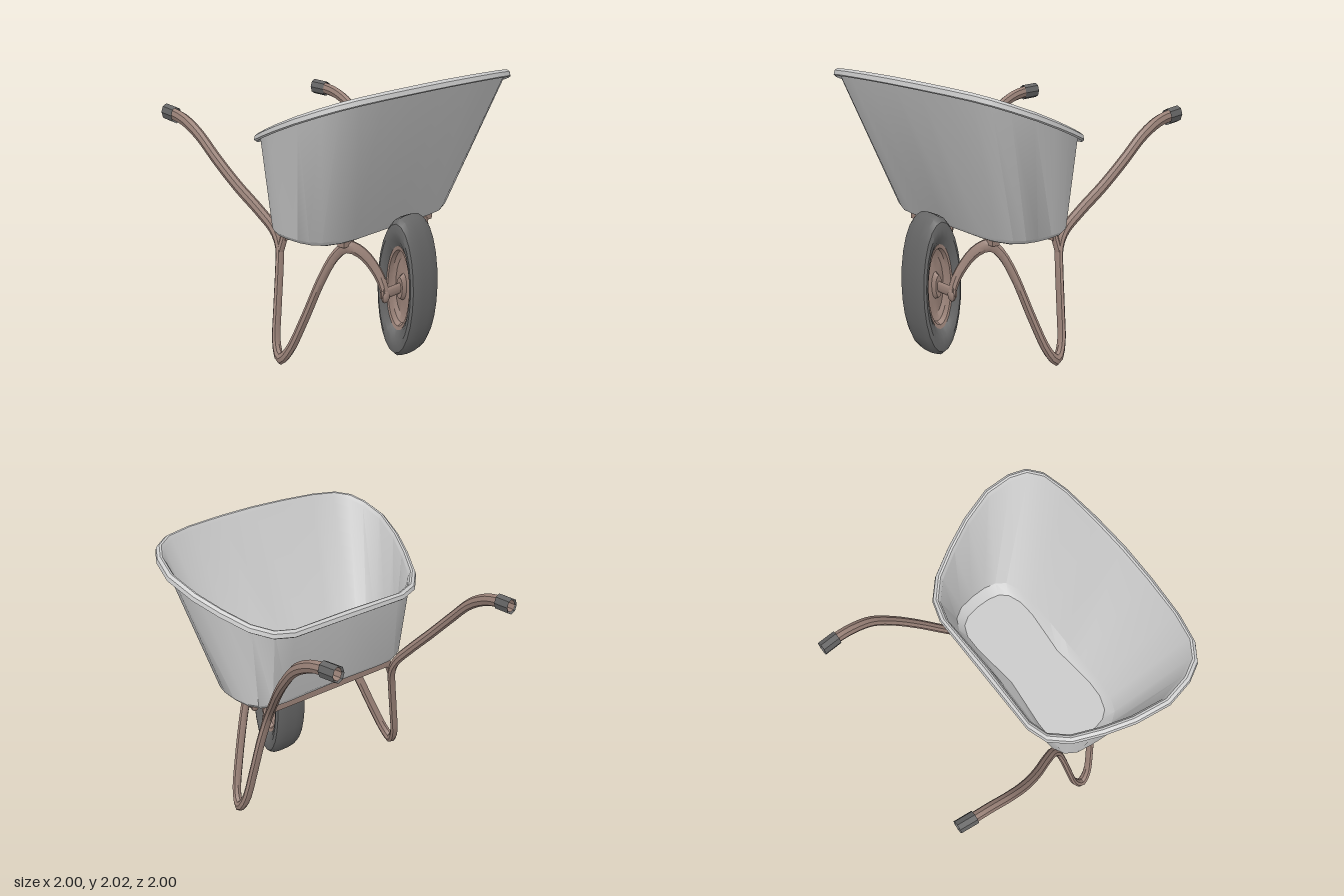
import * as THREE from 'three';
import { toCreasedNormals } from 'three/addons/utils/BufferGeometryUtils.js';

const V = (x, y, z) => new THREE.Vector3(x, y, z);
const material = (color) => new THREE.MeshStandardMaterial({ color, side: THREE.DoubleSide });

function part(name, geometry, mat, crease = 0.6) {
  const mesh = new THREE.Mesh(toCreasedNormals(geometry, crease), mat);
  mesh.name = name;
  return mesh;
}

// Tube whose cross-section is squashed by the same scale on every axis
const SQUASH = V(0.5, 1, 0.78);
function squashedTube(points, radius, segments, sides = 8) {
  const curve = new THREE.CatmullRomCurve3(points.map((p) => p.clone().divide(SQUASH)), false, 'centripetal');
  return new THREE.TubeGeometry(curve, segments, radius, sides).scale(SQUASH.x, SQUASH.y, SQUASH.z);
}

// Half outlines [x, z] of the tray rim and the tray base, back to nose
const RIM = [[-0.22, 0], [-0.22, 0.5], [-0.175, 0.65], [-0.06, 0.77], [0.13, 0.87], [0.33, 0.95], [0.56, 1],
  [0.74, 0.97], [0.85, 0.91], [0.92, 0.8], [0.96, 0.6], [0.985, 0.3], [0.995, 0]];
const BASE = [[-0.055, 0], [-0.055, 0.45], [-0.045, 0.58], [0, 0.67], [0.08, 0.72], [0.2, 0.74], [0.32, 0.74],
  [0.41, 0.72], [0.48, 0.67], [0.53, 0.56], [0.55, 0.42], [0.555, 0.2], [0.555, 0]];
const fullLoop = (half) => half.concat(half.slice(1, -1).reverse().map(([x, z]) => [x, -z]));

function trayGeometry() {
  const rim = fullLoop(RIM), base = fullLoop(BASE), n = rim.length;
  // [blend base to rim, inset, height offset], from the inner floor over the lip to the underside
  const rings = [[0, 0.09, -0.015], [0.03, 0.025, 0.02], [1, 0.062, -0.03], [1, 0.045, -0.004], [1, 0.03, 0],
    [1, 0.008, -0.015], [1, 0, -0.045], [1, 0.015, -0.055], [1, 0.045, -0.035], [0, 0, 0],
    [0, 0.025, -0.028], [0, 0.07, -0.042]];
  const positions = [], index = [];
  for (const [t, inset, dy] of rings) {
    for (let i = 0; i < n; i++) {
      const x = THREE.MathUtils.lerp(base[i][0], rim[i][0], t);
      const z = THREE.MathUtils.lerp(base[i][1], rim[i][1], t);
      const cx = THREE.MathUtils.lerp(0.25, 0.38, t);
      const k = 1 - inset / Math.hypot(x - cx, z);
      const y = THREE.MathUtils.lerp(0.95, 1.65 + 0.37 * x, t) + dy;
      positions.push(cx + (x - cx) * k, y, z * k);
    }
  }
  const floor = positions.length / 3, under = floor + 1, last = (rings.length - 1) * n;
  positions.push(0.25, 0.935, 0, 0.25, 0.906, 0);
  for (let i = 0; i < n; i++) {
    const j = (i + 1) % n;
    index.push(floor, i, j, last + i, under, last + j);
    for (let r = 0; r < last; r += n) {
      index.push(r + i, r + n + i, r + n + j, r + i, r + n + j, r + j);
    }
  }
  const g = new THREE.BufferGeometry();
  g.setAttribute('position', new THREE.Float32BufferAttribute(positions, 3));
  g.setIndex(index);
  return g;
}

// Lathe turned to spin about z, then squashed in x
const wheelLathe = (profile) => new THREE.LatheGeometry(profile.map(([r, z]) => new THREE.Vector2(r, z)), 24)
  .rotateX(Math.PI / 2).scale(0.34, 1, 1).translate(0.67, 0.52, 0);

export function createModel() {
  const model = new THREE.Group();
  model.name = 'wheelbarrow';
  const grey = material(0xcccccc), brown = material(0x9a8278), rubber = material(0x666666);

  model.add(part('tray', trayGeometry(), grey, 0.5));

  // Wheel: tyre, dished disc and axle
  const wheel = new THREE.Group();
  wheel.name = 'wheel';
  wheel.add(part('tyre', wheelLathe([[0.3, -0.07], [0.31, -0.1], [0.37, -0.135], [0.43, -0.145], [0.48, -0.135],
    [0.51, -0.1], [0.52, -0.04], [0.52, 0.04], [0.51, 0.1], [0.48, 0.135], [0.43, 0.145], [0.37, 0.135],
    [0.31, 0.1], [0.3, 0.07], [0.3, -0.07]]), rubber));
  wheel.add(part('wheelDisc', wheelLathe([[0, -0.09], [0.08, -0.09], [0.1, -0.05], [0.22, -0.04], [0.27, -0.06],
    [0.285, -0.1], [0.315, -0.105], [0.315, 0.105], [0.285, 0.1], [0.27, 0.06], [0.22, 0.04], [0.1, 0.05],
    [0.08, 0.09], [0, 0.09]]), brown));
  wheel.add(part('axle', wheelLathe([[0, -0.29], [0.025, -0.29], [0.025, -0.265], [0.04, -0.265], [0.04, 0.265],
    [0.025, 0.265], [0.025, 0.29], [0, 0.29]]), brown));
  model.add(wheel);

  // One bent tube per side: handle, leg and wheel arm
  const path = [[-0.99, 1.655, 0.775], [-0.87, 1.645, 0.785], [-0.75, 1.615, 0.79], [-0.6, 1.53, 0.79],
    [-0.45, 1.375, 0.765], [-0.3, 1.205, 0.715], [-0.15, 1.035, 0.645], [-0.05, 0.91, 0.605], [0, 0.8, 0.605],
    [0.03, 0.64, 0.64], [0.06, 0.4, 0.69], [0.1, 0.14, 0.745], [0.16, 0.05, 0.765], [0.23, 0.13, 0.74],
    [0.3, 0.36, 0.66], [0.37, 0.65, 0.555], [0.42, 0.8, 0.48], [0.475, 0.862, 0.425], [0.54, 0.815, 0.345],
    [0.6, 0.7, 0.275], [0.65, 0.58, 0.242], [0.67, 0.5, 0.24]];
  for (const s of [1, -1]) {
    const side = new THREE.Group();
    side.name = s > 0 ? 'leftFrame' : 'rightFrame';
    side.add(part('frameTube', squashedTube(path.map(([x, y, z]) => V(x, y, z * s)), 0.047, 72), brown));
    side.add(part('grip', squashedTube([V(-1, 1.655, 0.773 * s), V(-0.87, 1.645, 0.785 * s)], 0.06, 1), rubber));
    side.add(part('tubeEnd', new THREE.SphereGeometry(1, 10, 8).scale(0.025, 0.05, 0.038)
      .translate(0.67, 0.5, 0.24 * s), brown));
    // Struts that carry the tray
    side.add(part('rearStrut', squashedTube([V(0.012, 0.76, 0.615 * s), V(0.03, 0.925, 0.565 * s)], 0.04, 1), brown));
    side.add(part('frontTab', new THREE.BoxGeometry(0.06, 0.05, 0.1).translate(0.47, 0.895, 0.43 * s), brown));
    model.add(side);
  }

  // Bar across the rear legs, under the tray
  model.add(part('crossbar', new THREE.BoxGeometry(0.04, 0.065, 1.18).translate(0.025, 0.88, 0), brown));
  return model;
}
